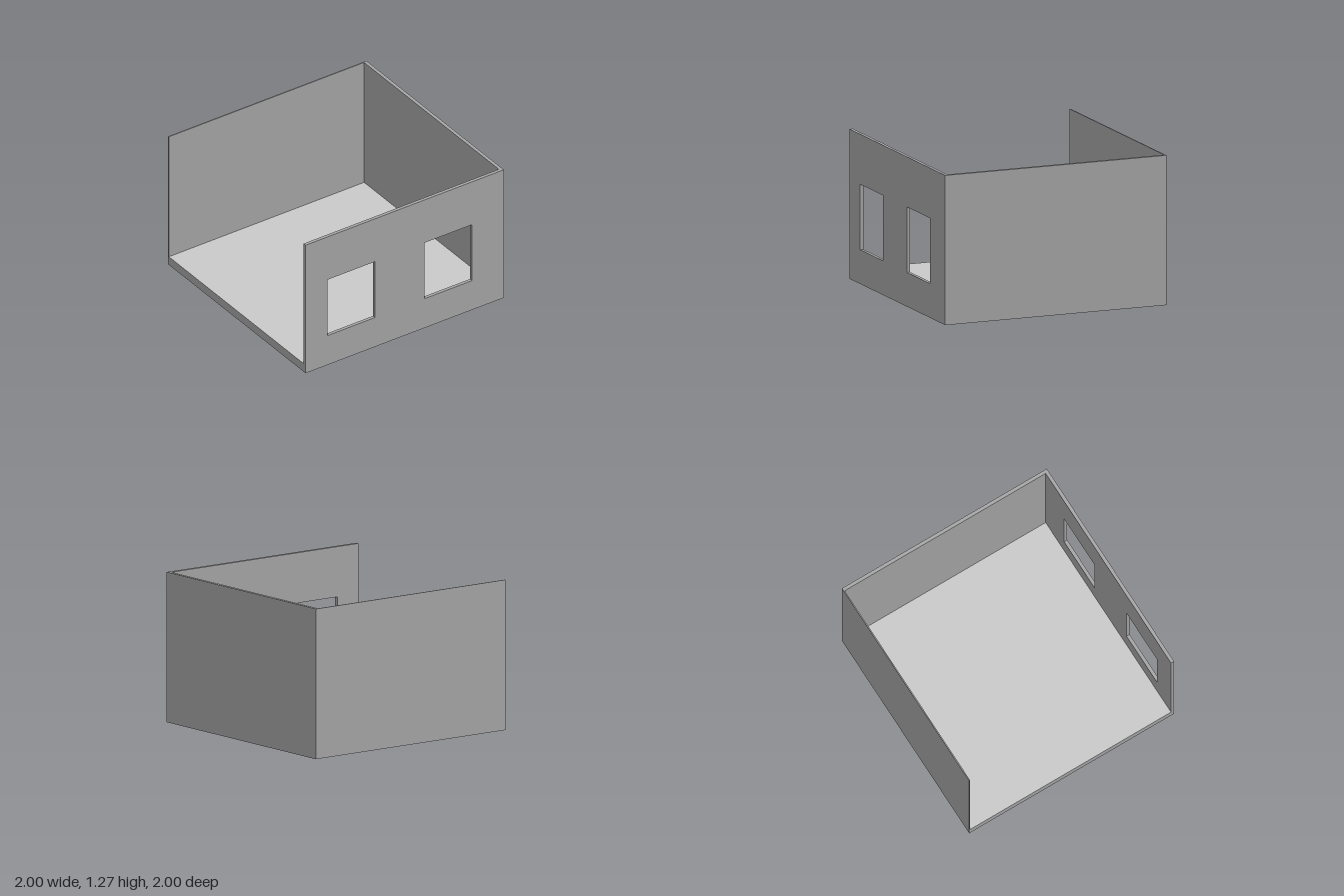
import * as THREE from 'three';

export function createModel() {
  const room = new THREE.Group();
  room.name = 'openRoom';

  const wallGrey = new THREE.MeshStandardMaterial({ color: 0xa6a6a6 });
  wallGrey.name = 'wallGrey';
  const floorGrey = new THREE.MeshStandardMaterial({ color: 0xc9c9c9 });
  floorGrey.name = 'floorGrey';

  const height = 1.27, thick = 0.03, backThick = 0.01, floorThick = 0.08;

  function add(name, geometry, material, x = 0, y = 0, z = 0) {
    const mesh = new THREE.Mesh(geometry, material);
    mesh.name = name;
    mesh.position.set(x, y, z);
    room.add(mesh);
  }

  function rectangle(path, x0, y0, x1, y1) {
    path.moveTo(x0, y0);
    path.lineTo(x1, y0);
    path.lineTo(x1, y1);
    path.lineTo(x0, y1);
    path.closePath();
    return path;
  }

  // Front wall with two window openings
  const front = rectangle(new THREE.Shape(), -1, 0, 1, height);
  for (const x of [-0.78, 0.2]) {
    front.holes.push(rectangle(new THREE.Path(), x, 0.29, x + 0.48, 0.845));
  }
  add('frontWall', new THREE.ExtrudeGeometry(front, { depth: thick, bevelEnabled: false }),
    wallGrey, 0, 0, 1 - thick);

  // Thin back wall and the closed left wall
  add('backWall', new THREE.BoxGeometry(2, height, backThick), wallGrey,
    0, height / 2, -1 + backThick / 2);
  const innerDepth = 2 - thick - backThick;
  const innerZ = (backThick - thick) / 2;
  add('leftWall', new THREE.BoxGeometry(thick, height, innerDepth), wallGrey,
    1 - thick / 2, height / 2, innerZ);

  // Floor slab: light top face, wall colour on its edges and underside
  add('floor', new THREE.BoxGeometry(2 - thick, floorThick, innerDepth),
    [wallGrey, wallGrey, floorGrey, wallGrey, wallGrey, wallGrey],
    -thick / 2, floorThick / 2, innerZ);

  return room;
}
